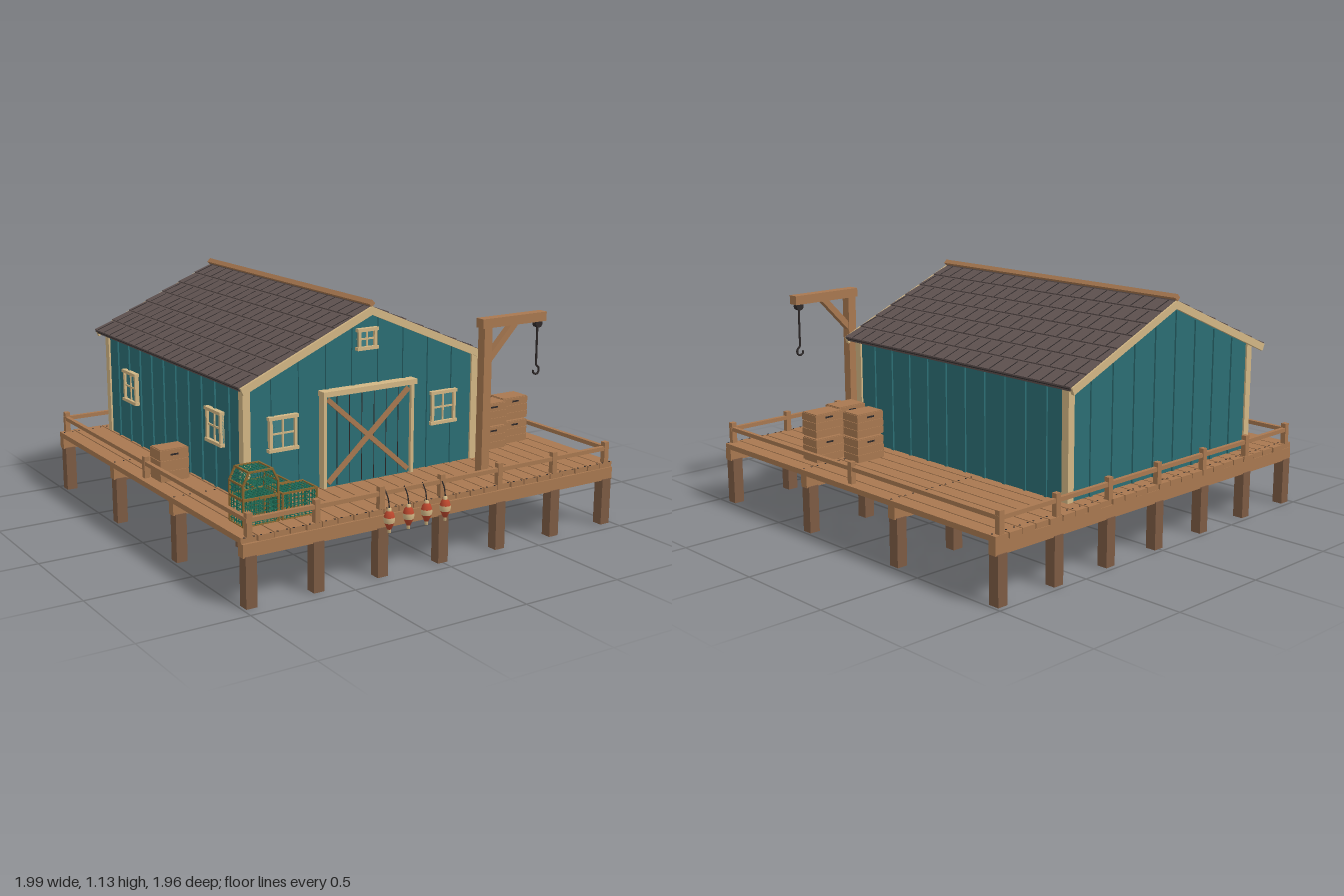
import * as THREE from 'three';

const mat = (name, color, opt = {}) => Object.assign(new THREE.MeshStandardMaterial({ color, ...opt }), { name });
const wood = mat('deck wood', 0xa87850);
const pileWood = mat('pile wood', 0x7c5a43);
const teal = mat('teal siding', 0x2b6d73);
const trim = mat('cream trim', 0xd2b684);
const roofMat = mat('slate shingle', 0x5f5250);
const dark = mat('dark iron', 0x2e2929);
const red = mat('buoy red', 0xb9462c);
const green = mat('trap mesh green', 0x1d6b55);
const trapWood = mat('trap frame', 0x8a6630);
const glass = mat('window glass', 0x3f7f84);

let seed = 7;
const rand = () => (seed = (seed * 16807) % 2147483647) / 2147483647;

function add(parent, name, geo, material, x = 0, y = 0, z = 0) {
  const m = new THREE.Mesh(geo, material);
  m.name = name;
  m.position.set(x, y, z);
  parent.add(m);
  return m;
}
const box = (p, name, m, w, h, d, x, y, z) => add(p, name, new THREE.BoxGeometry(w, h, d), m, x, y, z);
function group(parent, name, x = 0, y = 0, z = 0) {
  const g = new THREE.Group();
  g.name = name;
  g.position.set(x, y, z);
  parent.add(g);
  return g;
}
// Square bar between two points of an x-y plane
function bar(p, name, m, a, b, t, d, z) {
  const dx = b[0] - a[0], dy = b[1] - a[1];
  const o = box(p, name, m, Math.hypot(dx, dy), t, d, (a[0] + b[0]) / 2, (a[1] + b[1]) / 2, z);
  o.rotation.z = Math.atan2(dy, dx);
  return o;
}

const DECK = 0.3, RX = -0.135, RY = 1.105, SLOPE = 0.43;
const WX0 = -0.755, WX1 = 0.485, WZ0 = -0.875, WZ1 = 0.525;
const wallTop = x => RY - 0.028 - SLOPE * Math.abs(x - RX);
const pileX = [-0.96, -0.64, -0.32, 0, 0.32, 0.64, 0.96];
const pileZ = [0.915, 0.295, -0.33, -0.95];

function buildDeck(root) {
  const g = group(root, 'pier');
  const n = 26, step = 2 / n;
  for (let i = 0; i < n; i++) {
    const x = -1 + (i + 0.5) * step;
    box(g, 'plank', wood, step - 0.006, 0.025, 1.89 + rand() * 0.015, x, DECK - 0.0125, -0.022);
    for (const z of pileZ) for (const s of [-1, 1])
      box(g, 'nail', dark, 0.007, 0.002, 0.007, x + s * 0.022, DECK + 0.0005, z + 0.012);
  }
  for (const z of pileZ) {
    box(g, 'crossBeam', wood, 1.99, 0.058, 0.042, 0, 0.246, z);
    for (const x of pileX) box(g, 'pile', pileWood, 0.052, 0.222, 0.052, x, 0.111, z);
  }
  // Railing
  for (const z of [0.918, -0.958]) {
    for (const x of pileX) box(g, 'railPost', wood, 0.026, 0.1, 0.026, x, 0.35, z);
    box(g, 'rail', wood, 1.95, 0.019, 0.02, 0, 0.369, z);
  }
  for (const x of [-0.962, 0.962]) {
    box(g, 'railPost', wood, 0.026, 0.1, 0.026, x, 0.35, -0.02);
    box(g, 'rail', wood, 0.02, 0.019, 1.87, x, 0.369, -0.02);
  }
}

function buildWindow(parent, w, h, x, y, z, turn = 0) {
  const g = group(parent, 'window', x, y, z);
  g.rotation.y = turn;
  box(g, 'pane', glass, w, h, 0.008, 0, 0, 0.004);
  for (const s of [-1, 1]) {
    box(g, 'sideCasing', trim, 0.014, h, 0.022, s * (w / 2 - 0.007), 0, 0.009);
    box(g, 'casing', trim, w + 0.012, 0.015, 0.026, 0, s * (h / 2 - 0.006), 0.011);
  }
  box(g, 'mullion', trim, 0.008, h, 0.014, 0, 0, 0.007);
  box(g, 'mullion', trim, w, 0.008, 0.014, 0, 0, 0.007);
}

function buildHouse(root) {
  const g = group(root, 'boathouse');
  const s = new THREE.Shape([[WX0, DECK], [WX1, DECK], [WX1, wallTop(WX1)], [RX, wallTop(RX)], [WX0, wallTop(WX0)]]
    .map(p => new THREE.Vector2(...p)));
  add(g, 'walls', new THREE.ExtrudeGeometry(s, { depth: WZ1 - WZ0, bevelEnabled: false }), teal, 0, 0, WZ0);
  // Board-and-batten strips
  for (let i = 1; i < 9; i++) {
    const x = WX0 + (WX1 - WX0) * i / 9, h = wallTop(x) - DECK - 0.01;
    for (const z of [WZ0, WZ1]) box(g, 'batten', teal, 0.014, h, 0.016, x, DECK + h / 2, z);
  }
  for (let i = 1; i < 11; i++) for (const x of [WX0, WX1])
    box(g, 'batten', teal, 0.016, 0.5, 0.014, x, DECK + 0.25, WZ0 + (WZ1 - WZ0) * i / 11);
  for (const x of [WX0 + 0.009, WX1 - 0.009]) for (const z of [WZ0 + 0.01, WZ1 - 0.01])
    box(g, 'cornerTrim', trim, 0.036, 0.515, 0.038, x, DECK + 0.2575, z);

  // Sliding barn door
  const d = group(g, 'barnDoor', RX, DECK, WZ1);
  box(d, 'doorPanel', teal, 0.46, 0.42, 0.022, 0, 0.21, 0.011);
  for (let i = 1; i < 7; i++) box(d, 'doorSeam', dark, 0.003, 0.41, 0.004, -0.23 + 0.46 * i / 7, 0.21, 0.0215);
  for (const q of [-1, 1]) {
    box(d, 'doorCasing', trim, 0.016, 0.43, 0.038, q * 0.235, 0.215, 0.019);
    bar(d, 'crossBrace', wood, [-0.215, 0.21 - q * 0.19], [0.215, 0.21 + q * 0.19], 0.022, 0.012, 0.028 + q * 0.001);
  }
  box(d, 'doorHeader', trim, 0.5, 0.024, 0.052, 0, 0.43, 0.026);

  buildWindow(g, 0.138, 0.155, -0.57, 0.58, WZ1);
  buildWindow(g, 0.138, 0.155, 0.292, 0.58, WZ1);
  buildWindow(g, 0.098, 0.095, RX, 0.947, WZ1);
  for (const z of [-0.59, 0.28]) buildWindow(g, 0.138, 0.155, WX0, 0.58, z, -Math.PI / 2);

  // Roof: stepped shingle courses on each slope
  const a = Math.atan(SLOPE), len = 0.665 / Math.cos(a), rows = 7, L = len / rows;
  const zMid = -0.18, depth = 1.49;
  for (const q of [-1, 1]) {
    const r = group(g, 'roofSlope', RX, RY, 0);
    r.rotation.z = -q * a;
    box(r, 'roofDeck', roofMat, len, 0.012, depth, q * len / 2, -0.02, zMid);
    for (let i = 0; i < rows; i++) {
      const c = group(r, 'shingleCourse', q * (i + 0.5) * L, -0.01, zMid);
      c.rotation.z = q * 0.06;
      box(c, 'shingles', roofMat, L + 0.006, 0.012, depth, 0, 0, 0);
      for (let k = 0; k < 20; k++) {
        const z = -depth / 2 + (k + 0.25 + (i % 2) * 0.45 + rand() * 0.2) * depth / 20;
        if (z < depth / 2 - 0.01) box(c, 'shingleGap', dark, L * 0.88, 0.002, 0.005, q * 0.006, 0.0062, z);
      }
      box(c, 'courseShadow', dark, 0.002, 0.004, depth - 0.01, q * (L / 2 + 0.0035), -0.004, 0);
    }
    for (const z of [-0.925, 0.57]) box(r, 'rakeBoard', trim, len, 0.034, 0.016, q * len / 2, -0.025, z);
  }
  const cap = box(g, 'ridgeCap', wood, 0.03, 0.02, 1.51, RX, RY + 0.004, zMid);
  cap.rotation.z = Math.PI / 4;
  cap.scale.set(0.8, 1.1, 1);
}

function buildHoist(root) {
  const g = group(root, 'hoist', 0, 0, 0.727);
  box(g, 'hoistPost', wood, 0.044, 0.69, 0.046, 0.378, 0.64, 0);
  box(g, 'hoistArm', wood, 0.37, 0.043, 0.05, 0.53, 0.996, 0);
  bar(g, 'hoistBrace', wood, [0.385, 0.82], [0.54, 0.98], 0.03, 0.034, 0);
  const block = add(g, 'pulley', new THREE.CylinderGeometry(0.02, 0.02, 0.026, 12), dark, 0.683, 0.963, 0);
  block.rotation.x = Math.PI / 2;
  add(g, 'rope', new THREE.CylinderGeometry(0.005, 0.005, 0.2, 8), dark, 0.683, 0.865, 0);
  const hook = [[0, 0.03], [0, 0.012], [0.016, -0.006], [0.016, -0.024], [0.002, -0.034], [-0.015, -0.026], [-0.016, -0.012]];
  const curve = new THREE.CatmullRomCurve3(hook.map(p => new THREE.Vector3(p[0], p[1], 0)));
  add(g, 'hook', new THREE.TubeGeometry(curve, 24, 0.005, 6), dark, 0.683, 0.757, 0);
}

function buildCrate(root, x, y, z, w, h, d) {
  const g = group(root, 'crate', x, y + h / 2, z);
  box(g, 'crateBody', wood, w - 0.008, h - 0.004, d - 0.008, 0, 0, 0);
  const slat = (h - 0.008) / 3;
  for (const q of [-1, 1]) {
    for (let i = -1; i < 2; i++) {
      box(g, 'slat', wood, w, slat - 0.004, 0.006, 0, i * slat, q * (d / 2 - 0.003));
      box(g, 'slat', wood, 0.006, slat - 0.004, d, q * (w / 2 - 0.003), i * slat, 0);
    }
    box(g, 'handleSlot', dark, 0.04, 0.008, 0.003, 0, slat, q * d / 2);
  }
}

const W = 0.165, H = 0.113, D = 0.122;
function buildTrap(root, x, y, z, arched) {
  const g = group(root, 'lobsterTrap', x, y, z);
  const hw = W / 2, t = 0.003;
  const prof = arched
    ? [[-hw, 0], [-hw, 0.06], [-0.055, H], [0.055, H], [hw, 0.06], [hw, 0]]
    : [[-hw, 0], [-hw, H], [hw, H], [hw, 0]];
  for (let i = 0; i < prof.length; i++) {
    const a = prof[i], b = prof[(i + 1) % prof.length];
    // Frame hoops and lengthwise rails
    for (const q of [-1, 1]) bar(g, 'frameBar', trapWood, a, b, 0.008, 0.008, q * (D / 2 - 0.004));
    box(g, 'frameRail', trapWood, 0.008, 0.008, D, a[0], a[1], 0);
    // Mesh wires over each face
    for (let k = 1; k < 6; k++) bar(g, 'hoopWire', green, a, b, t, t, -D / 2 + D * k / 6);
    const n = Math.max(2, Math.round(Math.hypot(b[0] - a[0], b[1] - a[1]) / 0.018));
    for (let k = 1; k < n; k++)
      box(g, 'lengthWire', green, t, t, D, a[0] + (b[0] - a[0]) * k / n, a[1] + (b[1] - a[1]) * k / n, 0);
  }
  for (const q of [-1, 1]) {
    const ze = q * (D / 2 - 0.004);
    if (arched) {
      // Entry ring with spokes
      add(g, 'entryRing', new THREE.TorusGeometry(0.02, 0.003, 6, 16), green, 0, 0.058, ze);
      for (let k = 0; k < 20; k++) {
        const a = k * Math.PI / 10, c = Math.cos(a), s = Math.sin(a);
        const r = Math.min(0.078 / Math.max(Math.abs(c), 0.01), 0.053 / Math.max(Math.abs(s), 0.01), 0.074);
        bar(g, 'spoke', green, [0.02 * c, 0.058 + 0.02 * s], [r * c, 0.058 + r * s], t, t, ze);
      }
    } else {
      for (let k = 1; k < 9; k++) box(g, 'endWire', green, t, H, t, -hw + W * k / 9, H / 2, ze);
      for (let k = 1; k < 6; k++) box(g, 'endWire', green, W, t, t, 0, H * k / 6, ze);
    }
  }
}

function buildBuoy(root, x) {
  const g = group(root, 'buoy', x, 0.2, 0.955);
  const part = (name, m, pts) =>
    add(g, name, new THREE.LatheGeometry(pts.map(p => new THREE.Vector2(...p)), 14), m);
  part('buoyTip', trim, [[0, 0], [0.007, 0], [0.007, 0.02]]);
  part('buoyBase', red, [[0, 0.015], [0.009, 0.016], [0.022, 0.045]]);
  part('buoyBand', trim, [[0.022, 0.045], [0.025, 0.058], [0.024, 0.07]]);
  part('buoyTop', red, [[0.024, 0.07], [0.019, 0.088], [0.01, 0.097]]);
  part('buoyNub', trim, [[0.01, 0.097], [0.008, 0.11], [0, 0.111]]);
  const path = new THREE.CatmullRomCurve3([[0, 0.108, 0], [0, 0.15, -0.01], [0, 0.181, -0.034]].map(p => new THREE.Vector3(...p)));
  add(g, 'buoyRope', new THREE.TubeGeometry(path, 8, 0.003, 6), dark);
}

export function createModel() {
  const root = new THREE.Group();
  root.name = 'pierBoathouse';
  buildDeck(root);
  buildHouse(root);
  buildHoist(root);
  // Stacked crates on the right, one by the left wall
  for (const [x, z] of [[0.68, 0.25], [0.653, 0.42], [0.818, 0.38]])
    for (let k = 0; k < 2; k++) buildCrate(root, x, DECK + k * 0.118, z, 0.152, 0.116, 0.106);
  buildCrate(root, -0.877, DECK, 0.05, 0.142, 0.155, 0.104);
  buildTrap(root, -0.845, DECK, 0.765, false);
  buildTrap(root, -0.66, DECK, 0.765, false);
  buildTrap(root, -0.715, DECK, 0.637, false);
  buildTrap(root, -0.845, DECK + H + 0.003, 0.765, true);
  for (const x of [-0.3, -0.2, -0.105, -0.005]) buildBuoy(root, x);
  return root;
}
